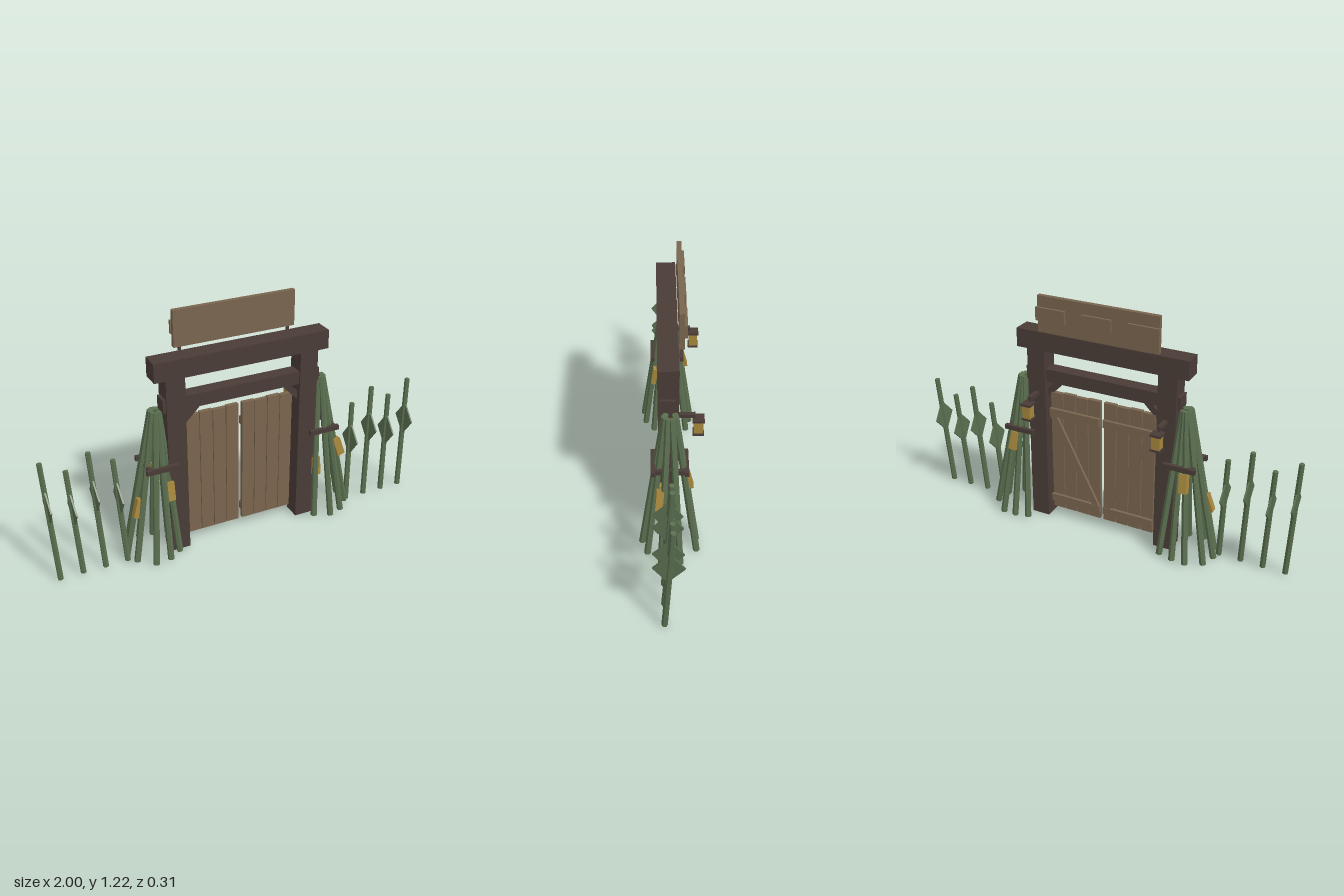
import * as THREE from 'three';

const mat = (name, color) => {
  const m = new THREE.MeshStandardMaterial({ color });
  m.name = name;
  return m;
};

export function createModel() {
  const root = new THREE.Group();
  root.name = 'palisadeGate';
  const darkWood = mat('darkWood', 0x4a3c37);
  const plankWood = mat('plankWood', 0x7a654f);
  const green = mat('bambooGreen', 0x5a6e4f);
  const amber = mat('amber', 0xa5863c);

  const add = (name, geo, material, x, y, z) => {
    const mesh = new THREE.Mesh(geo, material);
    mesh.name = name;
    mesh.position.set(x, y, z);
    root.add(mesh);
    return mesh;
  };
  // box given by its low and high corners
  const box = (name, material, x0, x1, y0, y1, z0, z1) =>
    add(name, new THREE.BoxGeometry(Math.abs(x1 - x0), y1 - y0, z1 - z0), material,
      (x0 + x1) / 2, (y0 + y1) / 2, (z0 + z1) / 2);
  const UP = new THREE.Vector3(0, 1, 0);
  const pole = (name, a, b, r) => {
    const dir = b.clone().sub(a);
    const mid = a.clone().add(b).multiplyScalar(0.5);
    const geo = new THREE.CylinderGeometry(r * 0.9, r, dir.length(), 6).toNonIndexed();
    geo.computeVertexNormals();
    const mesh = add(name, geo, green, mid.x, mid.y, mid.z);
    mesh.quaternion.setFromUnitVectors(UP, dir.normalize());
    return mesh;
  };
  // flat bar in the xy plane between two points
  const bar = (name, material, x0, y0, x1, y1, z, w, d) => {
    const geo = new THREE.BoxGeometry(Math.hypot(x1 - x0, y1 - y0), w, d);
    const mesh = add(name, geo, material, (x0 + x1) / 2, (y0 + y1) / 2, z);
    mesh.rotation.z = Math.atan2(y1 - y0, x1 - x0);
  };

  // main frame
  box('topBeam', darkWood, -0.45, 0.45, 0.93, 1.025, -0.04, 0.055);
  box('crossBeam', darkWood, -0.41, 0.41, 0.765, 0.832, -0.025, 0.045);

  // sign board on pins, with raised plates on its back
  box('signBoard', plankWood, -0.312, 0.312, 1.04, 1.22, -0.065, -0.042);
  for (const x of [-0.24, 0, 0.24])
    box('signPlate', plankWood, x - 0.077, x + 0.077, 1.1, 1.165, -0.078, -0.064);

  // feet of the leaning poles, as outward x and z
  const feet = {
    1: [[0.385, -0.11], [0.455, -0.125], [0.525, -0.125], [0.61, -0.045], [0.605, 0.045],
      [0.54, 0.11], [0.465, 0.135], [0.385, 0.1]],
    '-1': [[0.36, -0.1], [0.435, -0.12], [0.505, -0.125], [0.585, -0.085], [0.61, -0.01],
      [0.585, 0.065], [0.51, 0.13], [0.43, 0.12], [0.365, 0.075]],
  };
  // charms: outward x, y, z, tilt about x, tilt about z
  const charms = {
    1: [[0.54, 0.36, 0.05, -0.1, 0.3], [0.465, 0.425, -0.08, 0.25, 0.1], [0.405, 0.285, 0.06, -0.15, 0]],
    '-1': [[0.55, 0.285, 0.03, -0.1, 0.3], [0.465, 0.425, -0.08, 0.25, 0.1], [0.4, 0.36, 0.065, -0.15, 0]],
  };

  for (const s of [1, -1]) {
    box('post', darkWood, s * 0.3, s * 0.395, 0, 0.94, -0.039, 0.054);
    box('signPin', darkWood, s * 0.274, s * 0.286, 1.012, 1.045, -0.058, -0.047);
    bar('cornerBrace', darkWood, s * 0.31, 0.69, s * 0.225, 0.775, 0.01, 0.032, 0.04);

    // door leaf: planks in front, rails and diagonal behind
    for (let i = 0; i < 4; i++) {
      const x = 0.01 + i * 0.069;
      box('doorPlank', plankWood, s * x, s * (x + 0.0655), 0.05, 0.712 - (i % 2) * 0.004, -0.012, 0.01);
    }
    for (const y of [0.11, 0.605])
      box('doorRail', plankWood, s * 0.01, s * 0.284, y - 0.02, y + 0.02, -0.028, -0.011);
    bar('doorDiagonal', plankWood, s * 0.268, 0.59, s * 0.03, 0.125, -0.019, 0.035, 0.014);

    // lantern on the back of the post
    const lx = s * 0.345;
    box('lanternArm', darkWood, lx - 0.011, lx + 0.011, 0.692, 0.71, -0.115, -0.035);
    box('lanternHook', darkWood, lx - 0.005, lx + 0.005, 0.68, 0.696, -0.115, -0.105);
    box('lanternCap', darkWood, lx - 0.027, lx + 0.027, 0.673, 0.685, -0.157, -0.102);
    box('lanternBody', amber, lx - 0.021, lx + 0.021, 0.606, 0.674, -0.151, -0.109);
    box('lanternBase', darkWood, lx - 0.025, lx + 0.025, 0.597, 0.607, -0.155, -0.104);

    // bundle of leaning poles
    for (const [fx, fz] of feet[s])
      pole('leaningPole', new THREE.Vector3(s * fx, 0.006, fz),
        new THREE.Vector3(s * (0.435 + (fx - 0.475) * 0.14), 0.768, fz * 0.2), 0.016);

    // band around the bundle
    for (const z of [-0.075, 0.078])
      box('bundleBand', darkWood, s * 0.355, s * 0.517, 0.482, 0.506, z - 0.01, z + 0.01);
    box('bundleBand', darkWood, s * 0.486, s * 0.506, 0.482, 0.506, -0.08, 0.08);

    // hanging charms
    for (const [x, y, z, rx, rz] of charms[s]) {
      const charm = add('charm', new THREE.BoxGeometry(0.04, 0.095, 0.034), amber, s * x, y, z);
      charm.rotation.set(rx, 0, s * rz);
    }

    // fence stakes with diamond blades
    for (let i = 0; i < 4; i++) {
      const foot = 0.622 + i * 0.112, top = i % 2 ? 0.628 : 0.56;
      const a = new THREE.Vector3(s * foot, 0.006, 0.033);
      const b = new THREE.Vector3(s * (foot + 0.027 + (i % 2) * 0.002), top, -0.004);
      const stake = pole('fenceStake', a, b, 0.0145);
      const c = a.clone().lerp(b, 0.64);
      const shape = new THREE.Shape([[0, 0.09], [-0.07, 0], [0, -0.09], [0.07, 0]]
        .map(([x, y]) => new THREE.Vector2(x, y)));
      const geo = new THREE.ExtrudeGeometry(shape, { depth: 0.008, bevelEnabled: false });
      geo.translate(0, 0, -0.004).rotateY(Math.PI / 2);
      add('stakeBlade', geo, green, c.x, c.y, 0.014).quaternion.copy(stake.quaternion);
    }
  }
  return root;
}
